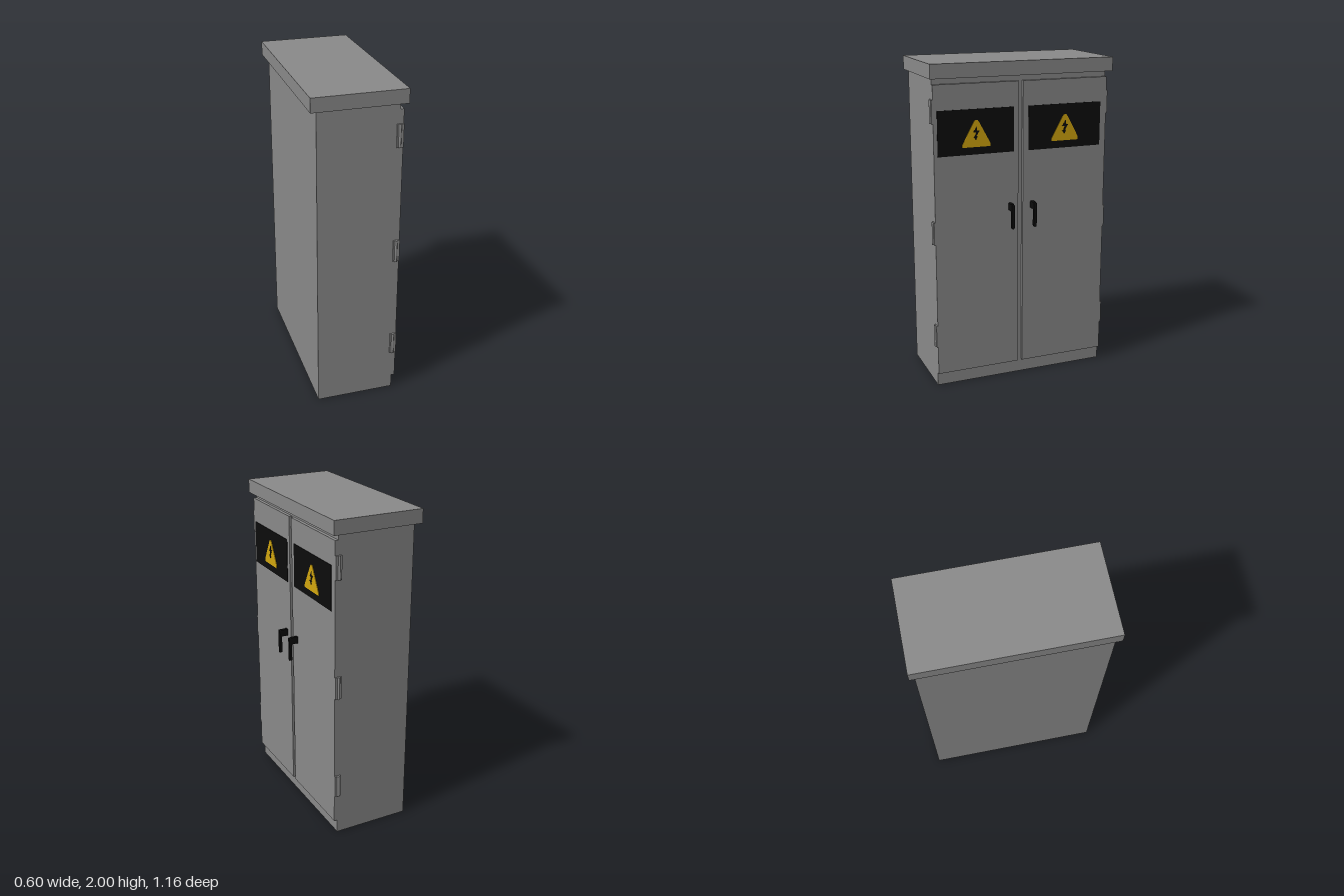
import * as THREE from 'three';

const grey = new THREE.MeshStandardMaterial({ name: 'grey paint', color: 0x8a8a8a });
const black = new THREE.MeshStandardMaterial({ name: 'black', color: 0x0c0c0c });
const yellow = new THREE.MeshStandardMaterial({ name: 'warning yellow', color: 0xd2a60e });

// Box given by its limits on each axis
function box(name, material, [x0, x1], [y0, y1], [z0, z1]) {
  const mesh = new THREE.Mesh(new THREE.BoxGeometry(x1 - x0, y1 - y0, z1 - z0), material);
  mesh.name = name;
  mesh.position.set((x0 + x1) / 2, (y0 + y1) / 2, (z0 + z1) / 2);
  return mesh;
}

// Outline extruded outwards from the door face (+x)
function plate(name, material, shape, depth, x, y, z) {
  const geometry = new THREE.ExtrudeGeometry(shape, { depth, bevelEnabled: false, curveSegments: 8 });
  geometry.rotateY(Math.PI / 2);
  const mesh = new THREE.Mesh(geometry, material);
  mesh.name = name;
  mesh.position.set(x, y, z);
  return mesh;
}

const polygon = (points) => new THREE.Shape(points.map(([x, y]) => new THREE.Vector2(x, y)));

// Warning triangle with blunted corners
const triangle = polygon([
  [-0.088, 0], [0.088, 0], [0.088, 0.018], [0.017, 0.148], [0.008, 0.16],
  [-0.008, 0.16], [-0.017, 0.148], [-0.088, 0.018],
]);

// Lightning bolt
const bolt = polygon([
  [0.004, 0.125], [-0.02, 0.088], [-0.002, 0.088], [-0.012, 0.062], [-0.02, 0.062],
  [-0.003, 0.04], [0.007, 0.066], [0, 0.066], [0.02, 0.098], [0.004, 0.098],
]);

// Handle lever with rounded ends
const lever = new THREE.Shape();
lever.absarc(0, 0.068, 0.01, 0, Math.PI);
lever.absarc(0, -0.068, 0.01, Math.PI, Math.PI * 2);
lever.closePath();

function createDoor(name, z0, z1, signZ0, signZ1, handleZ) {
  const door = new THREE.Group();
  door.name = name;
  door.add(box('doorPanel', grey, [0.218, 0.24], [0.085, 1.88], [z0, z1]));

  // Warning sign
  const middle = (signZ0 + signZ1) / 2;
  door.add(box('signBoard', black, [0.239, 0.243], [1.46, 1.73], [signZ0, signZ1]));
  door.add(plate('warningTriangle', yellow, triangle, 0.003, 0.243, 1.505, middle));
  door.add(plate('lightningBolt', black, bolt, 0.002, 0.246, 1.505, middle));

  // Handle
  door.add(box('handleStem', black, [0.239, 0.285], [1.1, 1.143], [handleZ - 0.01, handleZ + 0.01]));
  door.add(plate('handleLever', black, lever, 0.016, 0.281, 1.067, handleZ));
  return door;
}

// Hinge: two leaves and a knuckle on the side wall
function createHinge(y, z, side) {
  const hinge = new THREE.Group();
  hinge.name = 'hinge';
  hinge.position.set(0, y, z);
  const span = (depth) => (side > 0 ? [-0.004, depth] : [-depth, 0.004]);
  hinge.add(box('bodyLeaf', grey, [0.2, 0.213], [-0.07, 0.07], span(0.008)));
  hinge.add(box('doorLeaf', grey, [0.222, 0.24], [-0.07, 0.07], span(0.008)));
  const knuckle = new THREE.Mesh(new THREE.CylinderGeometry(0.008, 0.008, 0.14, 12), grey);
  knuckle.name = 'hingeKnuckle';
  knuckle.position.set(0.217, 0, side * 0.008);
  hinge.add(knuckle);
  return hinge;
}

export function createModel() {
  const model = new THREE.Group();
  model.name = 'electricalCabinet';

  // Cabinet body and overhanging roof
  model.add(box('body', grey, [-0.265, 0.219], [0, 1.92], [-0.553, 0.56]));
  model.add(box('roof', grey, [-0.302, 0.262], [1.915, 2], [-0.58, 0.58]));

  // Pair of doors with a gap between them
  model.add(createDoor('leftDoor', -0.553, 0, -0.513, -0.035, -0.06));
  model.add(createDoor('rightDoor', 0.03, 0.56, 0.06, 0.537, 0.085));

  // Three hinges on each side
  for (const y of [0.335, 0.995, 1.725]) {
    model.add(createHinge(y, 0.56, 1), createHinge(y, -0.553, -1));
  }
  return model;
}
